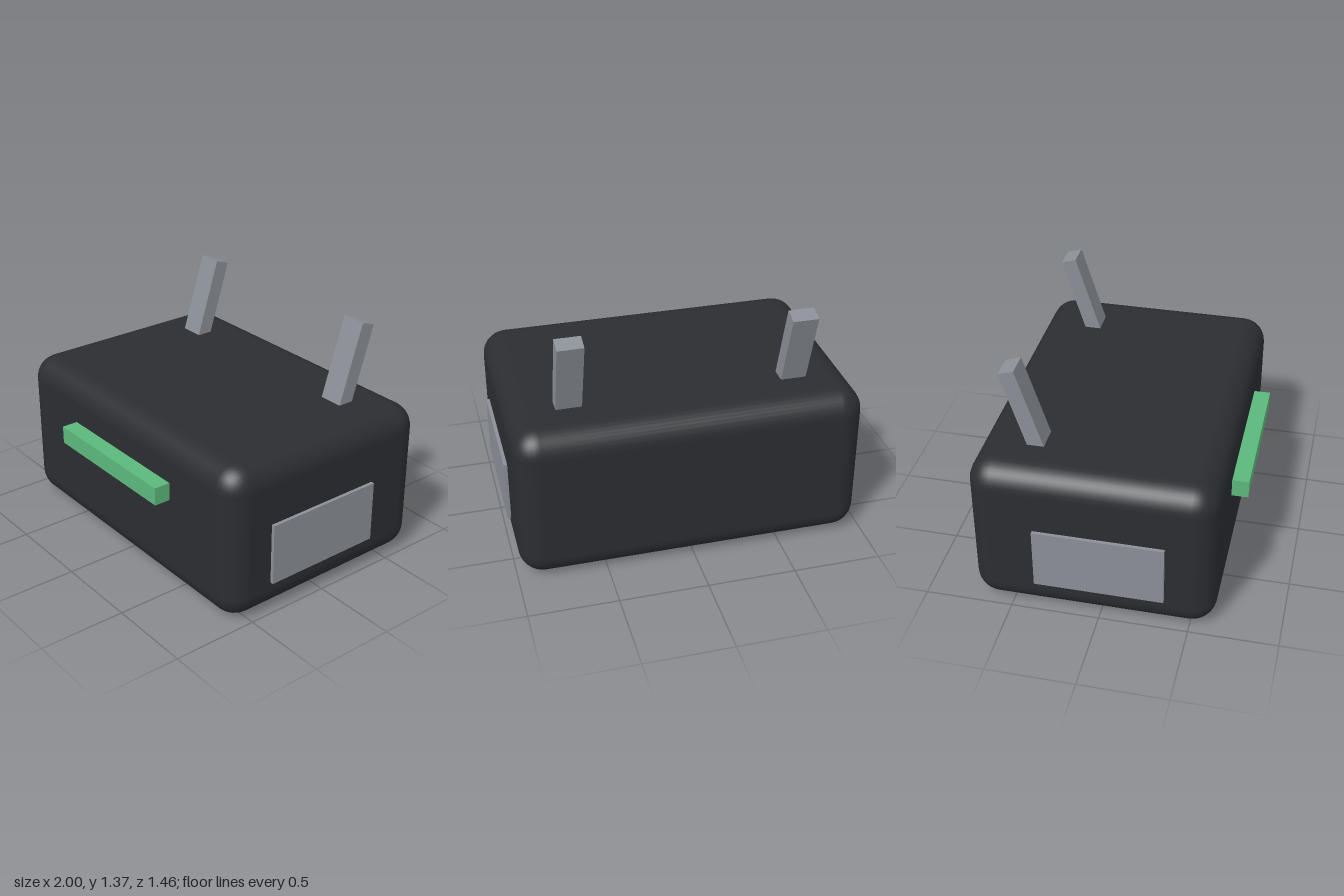
import * as THREE from 'three';
import { RoundedBoxGeometry } from 'three/addons/geometries/RoundedBoxGeometry.js';

export function createModel() {
  const model = new THREE.Group();
  const dark = new THREE.MeshStandardMaterial({ color: 0x2b2d31 });
  const grey = new THREE.MeshStandardMaterial({ color: 0x8b8f96 });
  const green = new THREE.MeshStandardMaterial({ color: 0x5cb87c });

  const add = (name, geometry, material, x, y, z) => {
    const mesh = new THREE.Mesh(geometry, material);
    mesh.name = name;
    mesh.position.set(x, y, z);
    model.add(mesh);
    return mesh;
  };

  // Rounded housing standing on the ground
  add('body', new RoundedBoxGeometry(1.96, 0.91, 1.365, 4, 0.14), dark, 0, 0.455, -0.0475);

  // Green bar projecting from the front face
  add('frontBar', new THREE.BoxGeometry(0.91, 0.105, 0.15), green, 0, 0.6025, 0.655);

  // Mirrored side plates and backward-leaning posts sunk into the top
  const tilt = 0.307, length = 0.55;
  for (const [side, s] of [['left', 1], ['right', -1]]) {
    add(side + 'SidePlate', new THREE.BoxGeometry(0.06, 0.36, 0.725), grey, s * 0.97, 0.365, 0);
    const post = add(side + 'Post', new THREE.BoxGeometry(0.145, length, 0.09), grey,
      s * 0.637,
      1.353 - Math.cos(tilt) * length / 2,
      -0.543 + Math.sin(tilt) * length / 2);
    post.rotation.x = -tilt;
  }
  return model;
}
